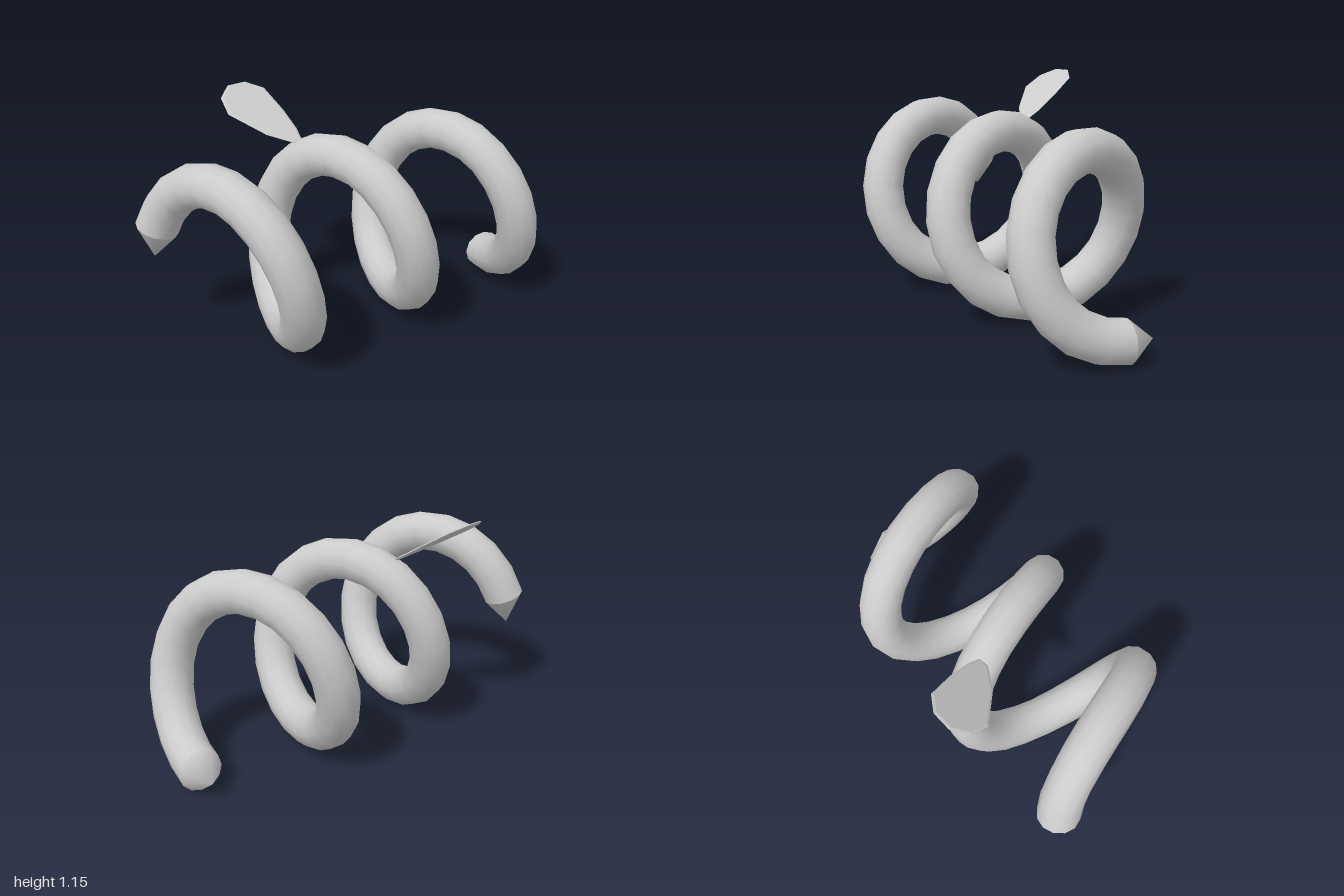
import * as THREE from 'three';

const R = 0.395, TUBE = 0.105, PITCH = 0.66, SIDES = 12, STEPS = 56;
const T0 = -1.35, T1 = Math.PI * 5;

// Ring of points around the coil at angle t (t = 0 is the first crest)
function ring(t) {
  const center = new THREE.Vector3(-0.76 + PITCH * t / (2 * Math.PI), 0.508 + R * Math.cos(t), 0.045 + R * Math.sin(t));
  const tangent = new THREE.Vector3(PITCH / (2 * Math.PI), -R * Math.sin(t), R * Math.cos(t)).normalize();
  const normal = new THREE.Vector3(0, Math.cos(t), Math.sin(t));
  const side = tangent.clone().cross(normal);
  return Array.from({ length: SIDES }, (_, j) => {
    const a = j / SIDES * Math.PI * 2;
    return center.clone().addScaledVector(normal, TUBE * Math.cos(a)).addScaledVector(side, TUBE * Math.sin(a));
  });
}

function surface(points, index) {
  const g = new THREE.BufferGeometry().setFromPoints(points);
  g.setIndex(index);
  g.computeVertexNormals();
  return g;
}

// Smooth tube along the spiral
function coilGeometry() {
  const points = [], index = [];
  for (let i = 0; i <= STEPS; i++) points.push(...ring(T0 + (T1 - T0) * i / STEPS));
  for (let i = 0; i < STEPS; i++) {
    for (let j = 0; j < SIDES; j++) {
      const a = i * SIDES + j, b = i * SIDES + (j + 1) % SIDES;
      index.push(a, b, a + SIDES, b, b + SIDES, a + SIDES);
    }
  }
  return surface(points, index);
}

// Pointed cap closing one end of the tube
function tipGeometry(t, tip, atStart) {
  const points = [...ring(t), tip], index = [];
  for (let j = 0; j < SIDES; j++) {
    const k = (j + 1) % SIDES;
    if (atStart) index.push(SIDES, k, j);
    else index.push(j, k, SIDES);
  }
  return surface(points, index);
}

// Thin petal-shaped leaf, outlined as [x, distance along its slope]
function leafGeometry() {
  const outline = [
    [-0.17, -0.01], [-0.16, 0.07], [-0.17, 0.2], [-0.2, 0.357], [-0.28, 0.418],
    [-0.38, 0.414], [-0.45, 0.345], [-0.46, 0.238], [-0.33, 0.07], [-0.22, -0.01],
  ].map(([x, y]) => new THREE.Vector2(x, y));
  return new THREE.ExtrudeGeometry(new THREE.Shape(outline), {
    depth: 0.002, bevelEnabled: true, bevelThickness: 0.004, bevelSize: 0.012, bevelOffset: -0.012, bevelSegments: 1,
  });
}

export function createModel() {
  const group = new THREE.Group();
  const material = new THREE.MeshStandardMaterial({ color: 0xcccccc });
  const add = (name, geometry) => {
    const mesh = new THREE.Mesh(geometry, material);
    mesh.name = name;
    group.add(mesh);
    return mesh;
  };

  add('coil', coilGeometry());
  add('upperTip', tipGeometry(T0, new THREE.Vector3(-0.92, 0.44, -0.36), true));
  add('lowerTip', tipGeometry(T1, new THREE.Vector3(0.92, 0.107, -0.08), false));

  // Leaf slopes up and back from the middle crest
  const leaf = add('leaf', leafGeometry());
  leaf.position.set(0, 0.935, -0.19);
  leaf.rotation.x = -1.0;

  return group;
}
